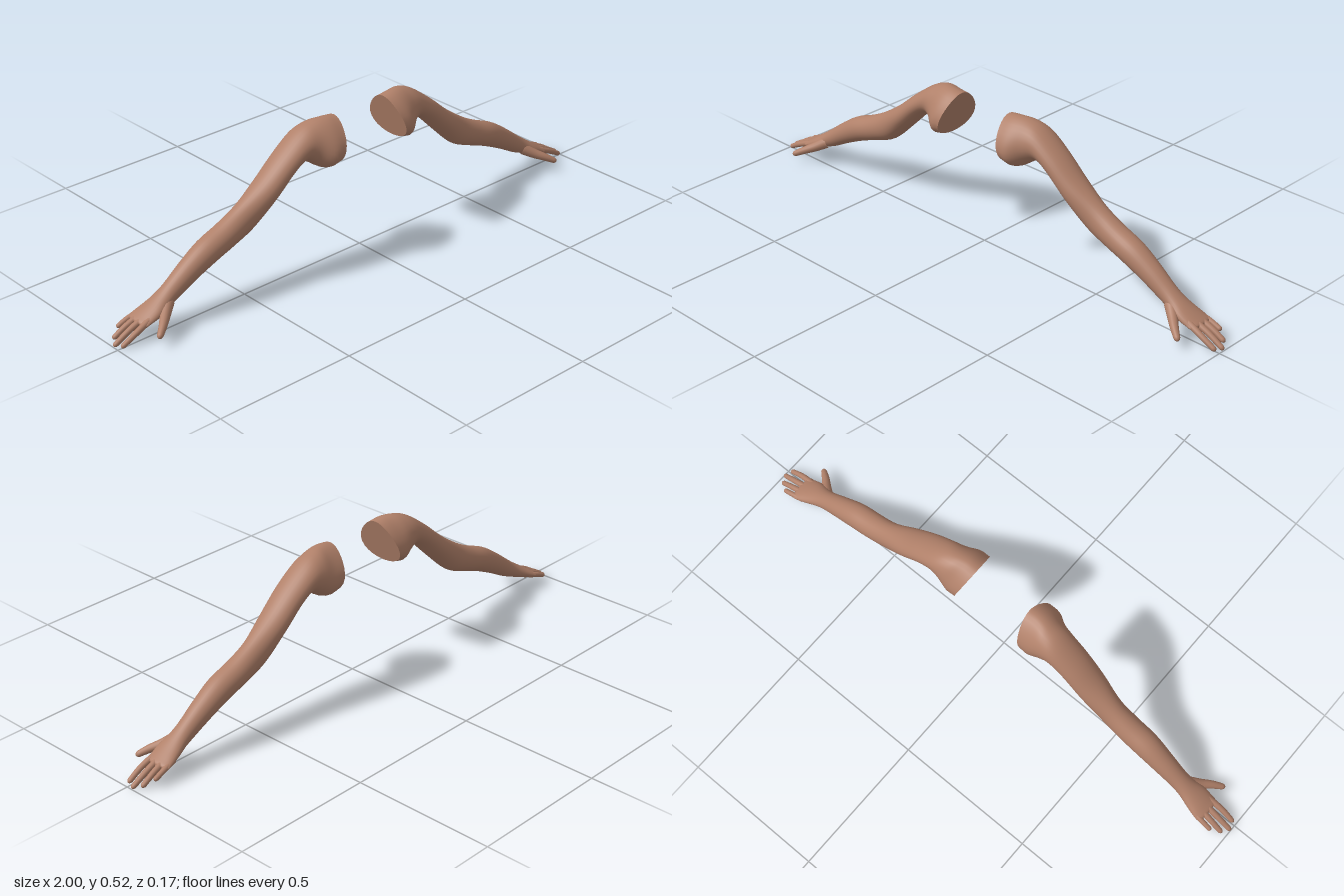
import * as THREE from 'three';

const SEG = 28;

// Arm sections: top x,y | bottom x,y | front z, back z | how much wider the lower half is
const SECTIONS = [
  [0.107, 0.512, 0.148, 0.360, 0.080, -0.087, 0.30],
  [0.150, 0.517, 0.182, 0.354, 0.078, -0.087, 0.30],
  [0.197, 0.513, 0.220, 0.378, 0.054, -0.082, 0.15],
  [0.250, 0.492, 0.252, 0.390, 0.043, -0.078, 0.03],
  [0.330, 0.434, 0.294, 0.366, 0.040, -0.075, 0],
  [0.410, 0.367, 0.367, 0.296, 0.035, -0.073, 0],
  [0.495, 0.308, 0.450, 0.221, 0.021, -0.067, 0],
  [0.570, 0.268, 0.530, 0.186, 0.021, -0.068, 0],
  [0.650, 0.235, 0.602, 0.160, 0.022, -0.067, 0],
  [0.720, 0.190, 0.685, 0.122, 0.016, -0.062, 0],
  [0.780, 0.145, 0.755, 0.085, 0.011, -0.057, 0],
  [0.817, 0.118, 0.795, 0.068, 0.013, -0.059, 0],
  [0.855, 0.093, 0.835, 0.053, 0.021, -0.068, 0],
  [0.890, 0.071, 0.875, 0.042, 0.019, -0.076, 0],
  [0.908, 0.059, 0.897, 0.040, 0.014, -0.074, 0],
  [0.911, 0.050, 0.911, 0.048, -0.025, -0.035, 0],
];

// Digits: path points and start/end radius
const DIGITS = {
  indexFinger: [[[0.875, 0.061, 0.003], [0.935, 0.037, 0.008], [0.990, 0.008, 0.006]], 0.0115, 0.0085],
  middleFinger: [[[0.875, 0.062, -0.020], [0.940, 0.036, -0.021], [1.000, 0.004, -0.021]], 0.0115, 0.0085],
  ringFinger: [[[0.875, 0.061, -0.042], [0.933, 0.039, -0.046], [0.983, 0.012, -0.048]], 0.0115, 0.0085],
  littleFinger: [[[0.865, 0.060, -0.062], [0.910, 0.047, -0.068], [0.951, 0.031, -0.070]], 0.0105, 0.008],
  thumb: [[[0.800, 0.088, -0.005], [0.832, 0.068, 0.023], [0.862, 0.053, 0.050], [0.897, 0.034, 0.076]], 0.021, 0.0095],
};

// Skin stretched over closed rings; side = -1 mirrors it across x
function loft(rings, side) {
  const n = rings[0].length, pos = [], idx = [];
  rings.forEach(r => r.forEach(p => pos.push(p.x * side, p.y, p.z)));
  for (let i = 0; i < rings.length - 1; i++) {
    for (let k = 0; k < n; k++) {
      const a = i * n + k, b = i * n + (k + 1) % n, c = a + n, d = b + n;
      if (side > 0) idx.push(a, b, c, b, d, c);
      else idx.push(a, c, b, b, c, d);
    }
  }
  const g = new THREE.BufferGeometry();
  g.setAttribute('position', new THREE.Float32BufferAttribute(pos, 3));
  g.setIndex(idx);
  g.computeVertexNormals();
  return g;
}

// Smooth rings from shoulder to knuckles
function armRings() {
  const curve = f => new THREE.CatmullRomCurve3(SECTIONS.map(f), false, 'catmullrom');
  const top = curve(s => new THREE.Vector3(s[0], s[1], s[6]));
  const bottom = curve(s => new THREE.Vector3(s[2], s[3], 0));
  const width = curve(s => new THREE.Vector3(s[4], s[5], 0));
  const rings = [], steps = 75;
  for (let i = 0; i <= steps; i++) {
    const t = top.getPoint(i / steps), b = bottom.getPoint(i / steps), w = width.getPoint(i / steps);
    const ring = [];
    for (let k = 0; k < SEG; k++) {
      const a = k / SEG * Math.PI * 2, c = Math.cos(a);
      ring.push(new THREE.Vector3(
        (t.x + b.x) / 2 + c * (t.x - b.x) / 2,
        (t.y + b.y) / 2 + c * (t.y - b.y) / 2,
        (w.x + w.y) / 2 + Math.sin(a) * (1 - t.z * c) * (w.x - w.y) / 2));
    }
    rings.push(ring);
  }
  return rings;
}

// Tapered rings with a rounded tip
function digitRings([points, r0, r1]) {
  const path = new THREE.CatmullRomCurve3(points.map(p => new THREE.Vector3(...p)));
  const up = new THREE.Vector3(0, 1, 0), rings = [], steps = 24;
  for (let i = 0; i <= steps; i++) {
    const u = Math.sin(i / steps * Math.PI / 2);
    const p = path.getPointAt(u), t = path.getTangentAt(u);
    const b = t.clone().cross(up).normalize(), n = b.clone().cross(t);
    const tip = u > 0.91 ? Math.sqrt(Math.max(0, 1 - ((u - 0.91) / 0.09) ** 2)) : 1;
    const r = Math.max(1e-4, (r0 + (r1 - r0) * u) * tip);
    rings.push(Array.from({ length: 14 }, (_, k) => {
      const a = k / 14 * Math.PI * 2;
      return p.clone().addScaledVector(n, r * Math.cos(a)).addScaledVector(b, r * Math.sin(a));
    }));
  }
  return rings;
}

export function createModel() {
  const skin = new THREE.MeshStandardMaterial({ color: 0xb08069 });
  skin.name = 'skin';
  const model = new THREE.Group();
  model.name = 'armPair';

  for (const side of [1, -1]) {
    const arm = new THREE.Group();
    arm.name = side > 0 ? 'leftArm' : 'rightArm';
    const add = (name, geometry) => {
      const mesh = new THREE.Mesh(geometry, skin);
      mesh.name = name;
      arm.add(mesh);
    };

    const rings = armRings();
    add('armAndPalm', loft(rings, side));

    // Flat face closing the shoulder
    const centre = rings[0].reduce((s, p) => s.add(p), new THREE.Vector3()).divideScalar(SEG);
    add('shoulderCut', loft([rings[0].map(() => centre), rings[0]], side));

    for (const [name, digit] of Object.entries(DIGITS)) add(name, loft(digitRings(digit), side));
    model.add(arm);
  }
  return model;
}
